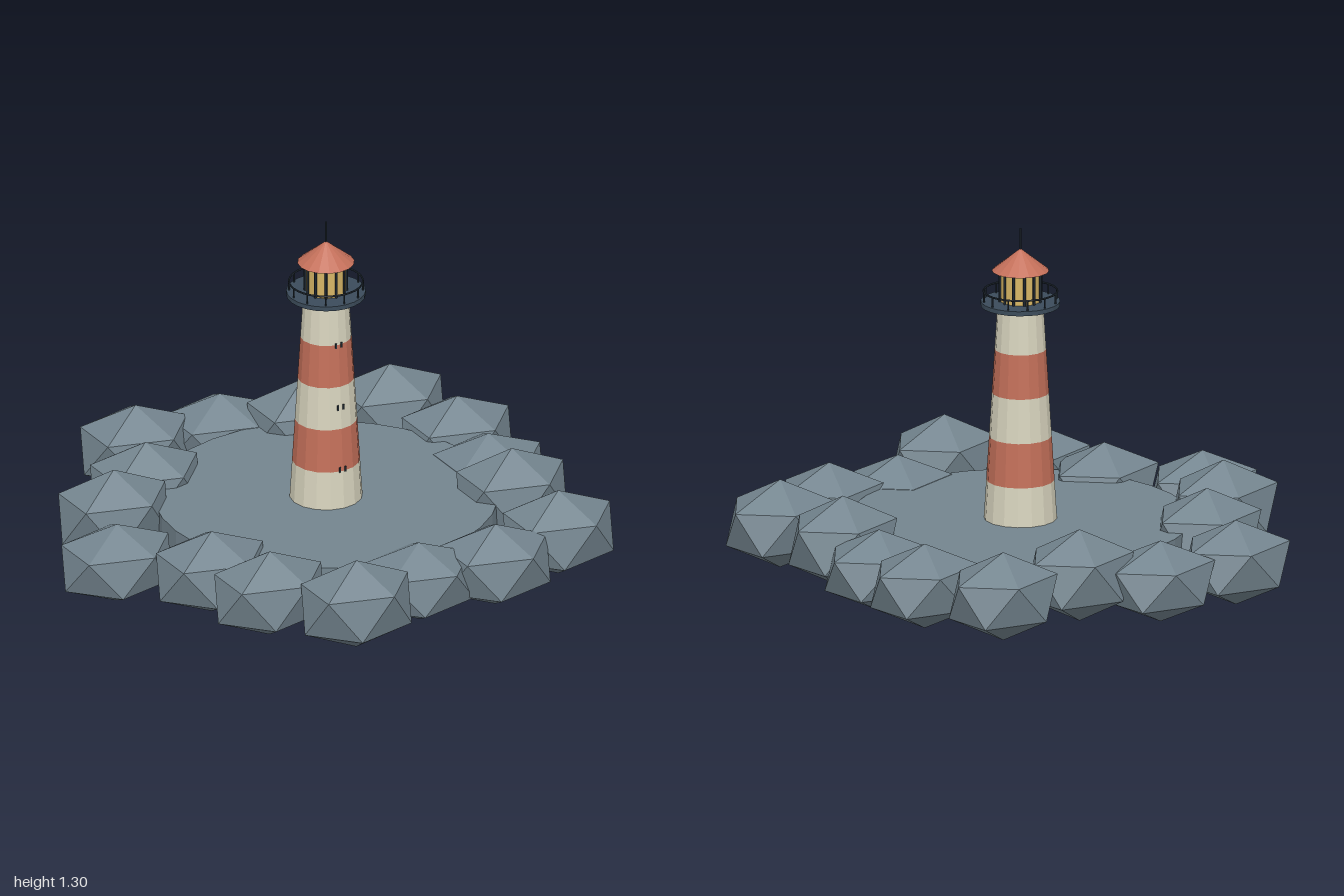
import * as THREE from 'three';
import { ConvexGeometry } from 'three/addons/geometries/ConvexGeometry.js';

const material = (name, color) => {
  const m = new THREE.MeshStandardMaterial({ color, flatShading: true });
  m.name = name;
  return m;
};

export function createModel() {
  const stone = material('stone', 0x74858f);
  const cream = material('cream', 0xd8d4be);
  const red = material('red', 0xc4705a);
  const slate = material('slate', 0x3c4c5b);
  const iron = material('iron', 0x26313b);
  const glass = material('glass', 0xd8b766);

  const model = new THREE.Group();
  model.name = 'lighthouse';
  const tower = new THREE.Group();
  tower.name = 'tower';
  tower.position.x = 0.075;
  model.add(tower);

  const add = (name, geometry, mat, x = 0, y = 0, z = 0) => {
    const mesh = new THREE.Mesh(geometry, mat);
    mesh.name = name;
    mesh.position.set(x, y, z);
    tower.add(mesh);
    return mesh;
  };
  // Upright cylinder or cone between two heights
  const drum = (name, mat, y0, y1, r0, r1, sides, x = 0, z = 0) =>
    add(name, new THREE.CylinderGeometry(r1, r0, y1 - y0, sides), mat, x, (y0 + y1) / 2, z);

  // Island slab
  drum('island', stone, 0.07, 0.225, 0.62, 0.62, 32);

  // Ring of boulders: point-up icosahedra, stretched sideways
  const boulder = (halfHeight) => {
    const points = [new THREE.Vector3(0, halfHeight, 0), new THREE.Vector3(0, -halfHeight, 0)];
    for (let k = 0; k < 5; k++) {
      const a = (k * Math.PI * 2) / 5;
      const x = 0.2125 * Math.cos(a), z = 0.17 * Math.sin(a), y = halfHeight * 0.447;
      points.push(new THREE.Vector3(x, y, z), new THREE.Vector3(-x, -y, z));
    }
    return new ConvexGeometry(points);
  };
  for (let i = 0; i < 16; i++) {
    const a = (i * Math.PI) / 8;
    const r = 0.672 + 0.0965 * (i % 3);
    const step = i % 4;
    add('boulder', boulder(0.151 + 0.0067 * step), stone,
      r * Math.cos(a), 0.159 + 0.013 * step, -r * Math.sin(a));
  }

  // Tapering striped tower
  const base = 0.206, band = 0.163;
  const radiusAt = (y) => 0.133 - ((y - base) / (5 * band)) * 0.05;
  for (let i = 0; i < 5; i++) {
    const y0 = base + i * band, y1 = y0 + band;
    drum('towerBand', i % 2 ? red : cream, y0, y1, radiusAt(y0), radiusAt(y1), 16);
  }

  // Narrow window slits on the front
  for (const y of [0.375, 0.615, 0.855]) {
    for (const side of [-1, 1]) {
      add('windowSlit', new THREE.BoxGeometry(0.006, 0.02, 0.008), iron,
        side * 0.011, y, radiusAt(y) - 0.002);
    }
  }

  // Gallery deck and railing
  drum('galleryDeck', slate, 1.02, 1.037, 0.143, 0.143, 24);
  const rail = add('galleryRail', new THREE.TorusGeometry(0.133, 0.0035, 6, 32), iron, 0, 1.074, 0);
  rail.rotation.x = Math.PI / 2;

  // Lantern room with glazing bars and railing posts
  drum('lanternGlass', glass, 1.035, 1.15, 0.073, 0.073, 12);
  for (let i = 0; i < 12; i++) {
    const a = (i * Math.PI) / 6;
    const s = Math.sin(a), c = Math.cos(a);
    drum('lanternBar', iron, 1.035, 1.15, 0.005, 0.005, 6, 0.075 * s, 0.075 * c);
    drum('railPost', iron, 1.035, 1.074, 0.003, 0.003, 6, 0.133 * s, 0.133 * c);
  }

  // Roof and mast
  add('roof', new THREE.ConeGeometry(0.103, 0.083, 16), red, 0, 1.1915, 0);
  drum('mast', iron, 1.22, 1.308, 0.004, 0.004, 6);

  return model;
}
